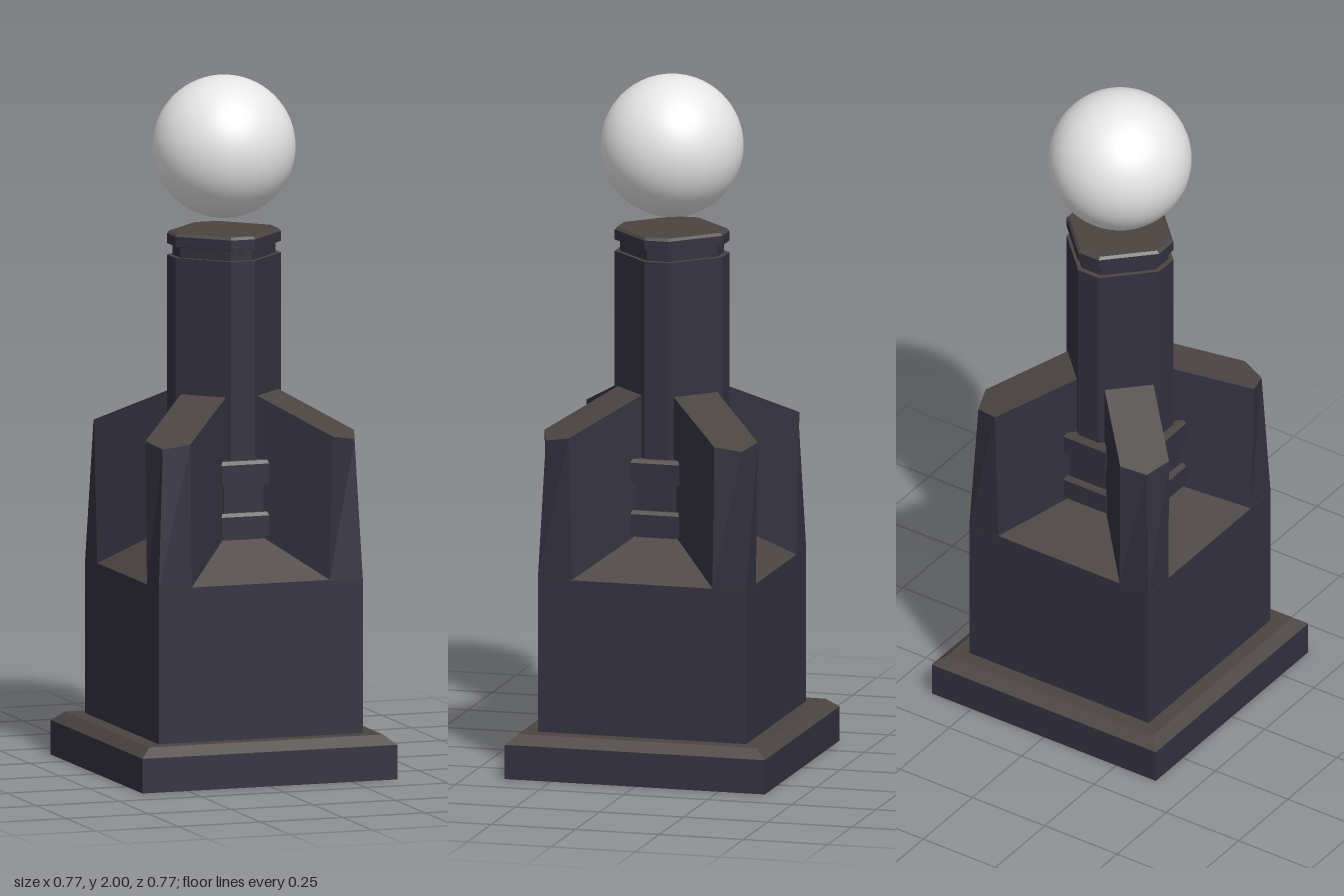
import * as THREE from 'three';

const stoneSide = new THREE.MeshStandardMaterial({ color: 0x33313f });
stoneSide.name = 'dark blue stone';
const stoneTop = new THREE.MeshStandardMaterial({ color: 0x4b4542 });
stoneTop.name = 'brown stone top';
const pale = new THREE.MeshStandardMaterial({ color: 0xe8e8e8 });
pale.name = 'pale globe';

// Flat-shaded loft through rings of [x, y, z]; upward faces get the top material
function loft(name, rings) {
  const sides = [], tops = [];
  const tri = (...corners) => {
    const [a, b, c] = corners.map((p) => new THREE.Vector3(...p));
    const n = b.clone().sub(a).cross(c.clone().sub(a));
    if (n.length() < 1e-9) return;
    (n.normalize().y > 0.3 ? tops : sides).push(...corners.flat());
  };
  const count = rings[0].length;
  for (let r = 0; r < rings.length - 1; r++) {
    const lo = rings[r], hi = rings[r + 1];
    for (let i = 0; i < count; i++) {
      const j = (i + 1) % count;
      tri(lo[i], hi[i], lo[j]);
      tri(hi[i], hi[j], lo[j]);
    }
  }
  const first = rings[0], last = rings[rings.length - 1];
  for (let i = 1; i < count - 1; i++) {
    tri(first[0], first[i], first[i + 1]);
    tri(last[0], last[i + 1], last[i]);
  }
  const geo = new THREE.BufferGeometry();
  geo.setAttribute('position', new THREE.Float32BufferAttribute([...sides, ...tops], 3));
  geo.addGroup(0, sides.length / 3, 0);
  geo.addGroup(sides.length / 3, tops.length / 3, 1);
  geo.computeVertexNormals();
  const mesh = new THREE.Mesh(geo, [stoneSide, stoneTop]);
  mesh.name = name;
  return mesh;
}

// Rectangle and chamfered-square cross-sections
const rect = (x, z, y) => [[x, y, -z], [x, y, z], [-x, y, z], [-x, y, -z]];
const chamfered = (h, f, y) => [
  [h, y, -f], [h, y, f], [f, y, h], [-f, y, h],
  [-h, y, f], [-h, y, -f], [-f, y, -h], [f, y, -h],
];

export function createModel() {
  const model = new THREE.Group();
  model.name = 'globePedestal';

  // Plinth with bevelled top edge
  model.add(loft('plinth', [rect(0.387, 0.387, 0), rect(0.387, 0.387, 0.1), rect(0.355, 0.355, 0.127)]));

  // Main block with a sloping roof
  model.add(loft('block', [rect(0.31, 0.31, 0.12), rect(0.31, 0.31, 0.575), rect(0.16, 0.16, 0.685)]));

  // Column, groove and cap
  model.add(loft('column', [
    chamfered(0.16, 0.036, 0.6), chamfered(0.16, 0.036, 1.485),
    chamfered(0.145, 0.033, 1.485), chamfered(0.145, 0.033, 1.515),
    chamfered(0.16, 0.036, 1.518), chamfered(0.16, 0.036, 1.547),
    chamfered(0.153, 0.034, 1.555),
  ]));

  // Crossed bands and the strip behind them on each face of the column
  const straps = new THREE.Group();
  straps.name = 'columnStraps';
  for (let k = 0; k < 2; k++) {
    const pair = new THREE.Group();
    pair.name = 'strapPair';
    pair.rotation.y = (k * Math.PI) / 2;
    pair.add(loft('strip', [rect(0.06, 0.165, 0.66), rect(0.06, 0.165, 0.85)]));
    for (const y of [0.69, 0.84]) {
      pair.add(loft('band', [
        rect(0.072, 0.18, y), rect(0.072, 0.18, y + 0.06), rect(0.069, 0.173, y + 0.07),
      ]));
    }
    straps.add(pair);
  }
  model.add(straps);

  // Diagonal buttresses, growing from the block corners to a sloping top
  const slope = (r) => 1.152 - 0.43 * r;
  const w = 0.071;
  const finBottom = [[0.05, -w], [0.367, -w], [0.438, 0], [0.367, w], [0.05, w]];
  const finTop = [[0.05, -w], [0.377, -w], [0.412, 0], [0.377, w], [0.05, w]];
  for (let k = 0; k < 4; k++) {
    const fin = loft('buttress', [
      finBottom.map(([r, t]) => [r, 0.575, t]),
      finTop.map(([r, t]) => [r, slope(r), t]),
    ]);
    fin.rotation.y = Math.PI / 4 + (k * Math.PI) / 2;
    model.add(fin);
  }

  // Floating globe
  const globe = new THREE.Mesh(new THREE.SphereGeometry(0.205, 48, 32), pale);
  globe.name = 'globe';
  globe.position.y = 1.795;
  model.add(globe);

  return model;
}
